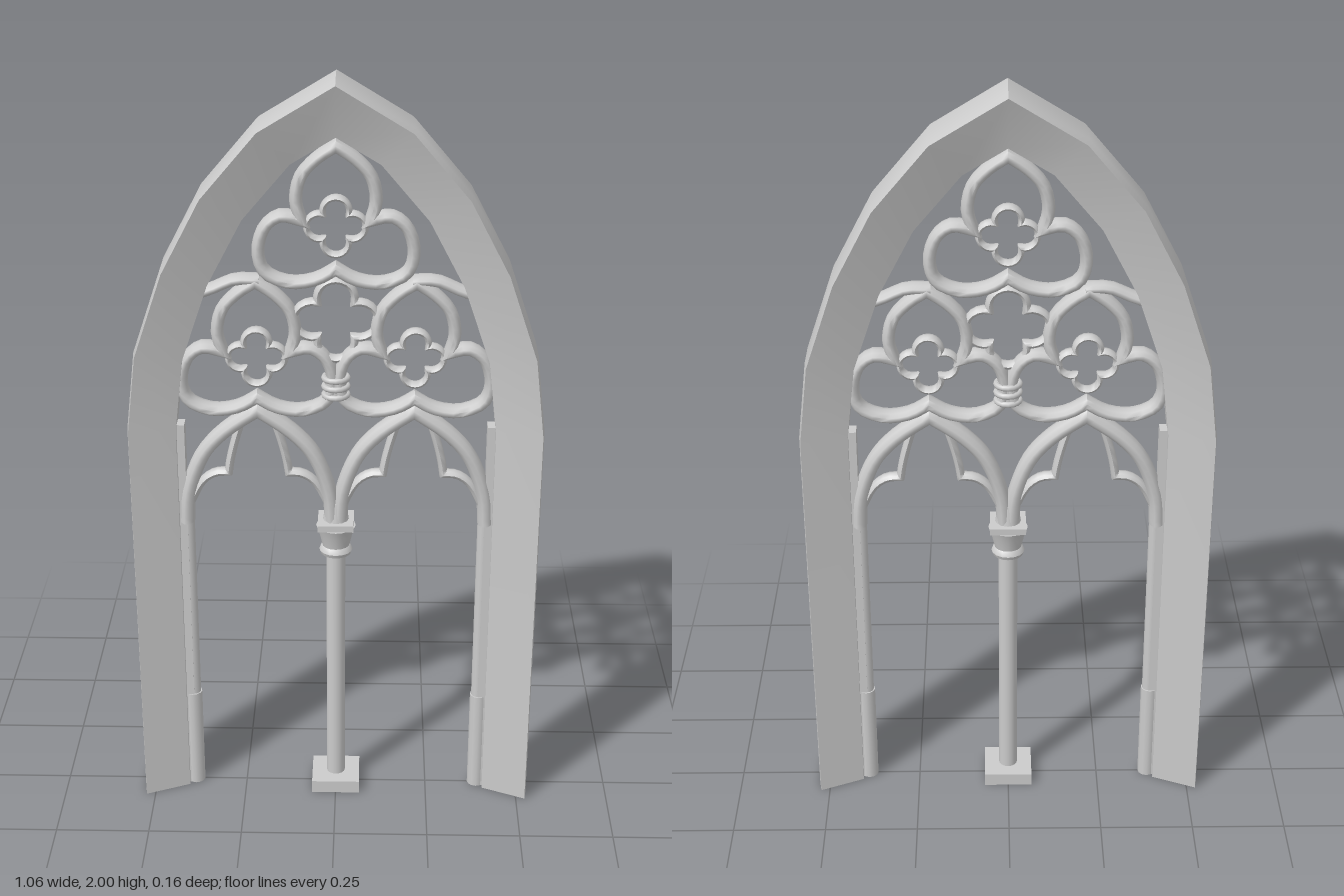
import * as THREE from 'three';
import { toCreasedNormals } from 'three/addons/utils/BufferGeometryUtils.js';

const material = new THREE.MeshStandardMaterial({ color: 0xcccccc, side: THREE.DoubleSide });

function addMesh(parent, name, geometry, x = 0, y = 0, z = 0) {
  const mesh = new THREE.Mesh(geometry, material);
  mesh.name = name;
  mesh.position.set(x, y, z);
  parent.add(mesh);
  return mesh;
}

// Sweep a section of [inward offset, z] points along a path in the xy plane, mitred at corners.
function sweep(path, section, closed, crease) {
  const n = path.length, m = section.length, pos = [], idx = [];
  const normal = (a, b) => new THREE.Vector2(a.y - b.y, b.x - a.x).normalize();
  for (let i = 0; i < n; i++) {
    const p = path[i];
    const prev = closed || i > 0 ? path[(i + n - 1) % n] : null;
    const next = closed || i < n - 1 ? path[(i + 1) % n] : null;
    const n0 = prev ? normal(prev, p) : normal(p, next);
    const n1 = next ? normal(p, next) : n0;
    const mid = n0.clone().add(n1).normalize();
    const k = 1 / Math.max(0.5, mid.dot(n1));
    for (const [u, z] of section) pos.push(p.x + mid.x * u * k, p.y + mid.y * u * k, z);
  }
  for (let i = 0; i < (closed ? n : n - 1); i++) {
    for (let j = 0; j < m; j++) {
      const j1 = (j + 1) % m, i1 = (i + 1) % n;
      const a = i * m + j, b = i * m + j1, c = i1 * m + j, d = i1 * m + j1;
      idx.push(a, b, c, b, d, c);
    }
  }
  if (!closed) {
    const e = (n - 1) * m;
    for (let j = 1; j < m - 1; j++) idx.push(0, j + 1, j, e, e + j, e + j + 1);
  }
  const g = new THREE.BufferGeometry();
  g.setAttribute('position', new THREE.Float32BufferAttribute(pos, 3));
  g.setIndex(idx);
  return toCreasedNormals(g, crease);
}

const vec = (list) => list.map(([x, y]) => new THREE.Vector2(x, y));
const spline = (list, n) => new THREE.SplineCurve(vec(list)).getPoints(n);
const mirrored = (pts) => pts.map((p) => new THREE.Vector2(-p.x, p.y)).reverse();

// Rounded bar section
function barSection(halfWidth, halfDepth, sides = 10) {
  return Array.from({ length: sides }, (_, i) => {
    const a = (i / sides) * Math.PI * 2;
    return [Math.cos(a) * halfWidth, Math.sin(a) * halfDepth];
  });
}

// Three-lobed ring, bottom cusp at the origin
function trefoil() {
  const side = spline([[0, 0], [0.05, -0.028], [0.115, -0.036], [0.175, -0.01], [0.192, 0.045], [0.175, 0.105], [0.135, 0.135], [0.085, 0.125]], 20);
  const top = spline([[0.085, 0.125], [0.098, 0.175], [0.085, 0.235], [0.045, 0.28], [0, 0.31]], 12);
  const half = [...side, ...top.slice(1)];
  return sweep([...half, ...mirrored(half).slice(1, -1)], barSection(0.016, 0.03), true, 1);
}

// Four-lobed ring made of circular lobes
function quatrefoil(R, halfWidth) {
  const pts = [], c = 0.55 * R, r = 0.45 * R;
  for (let i = 0; i < 48; i++) {
    const t = (i / 48) * Math.PI * 2;
    const f = ((i + 6) % 12 - 6) / 48 * Math.PI * 2;
    const d = c * Math.cos(f) + Math.sqrt(r * r - (c * Math.sin(f)) ** 2);
    pts.push(new THREE.Vector2(d * Math.cos(t), d * Math.sin(t)));
  }
  return sweep(pts, barSection(halfWidth, 0.018, 8), true, 1);
}

export function createModel() {
  const model = new THREE.Group();
  model.name = 'gothicWindow';

  // Outer pointed frame, tapering in depth toward the opening
  const right = vec([[0.53, 0], [0.53, 0.55], [0.53, 1.1], [0.505, 1.31], [0.43, 1.53], [0.33, 1.72], [0.19, 1.885], [0, 2]]);
  const frameSection = [[0.006, 0.081], [0, 0.045], [0, -0.045], [0.006, -0.081], [0.122, -0.032], [0.122, 0.032]];
  addMesh(model, 'frame', sweep([...right, ...mirrored(right).slice(1)], frameSection, false, 0.6));

  // Slim shafts on the inner side of each jamb
  for (const s of [-1, 1]) {
    const jamb = new THREE.Group();
    jamb.name = s > 0 ? 'leftJambShaft' : 'rightJambShaft';
    addMesh(jamb, 'shaft', new THREE.CylinderGeometry(0.019, 0.019, 0.9, 12), s * 0.39, 0.45);
    addMesh(jamb, 'shaftFoot', new THREE.CylinderGeometry(0.024, 0.024, 0.29, 12), s * 0.392, 0.145);
    addMesh(jamb, 'shaftBacking', new THREE.BoxGeometry(0.03, 1.1, 0.04), s * 0.403, 0.55);
    model.add(jamb);
  }

  // Central column with base and capital
  const column = new THREE.Group();
  column.name = 'column';
  addMesh(column, 'base', new THREE.BoxGeometry(0.13, 0.036, 0.125), 0, 0.018);
  addMesh(column, 'shaft', new THREE.CylinderGeometry(0.025, 0.025, 0.72, 16), 0, 0.39);
  const capital = vec([[0, 0.728], [0.04, 0.728], [0.044, 0.738], [0.04, 0.748], [0.036, 0.752], [0.044, 0.785], [0.052, 0.808], [0, 0.808]]);
  addMesh(column, 'capital', toCreasedNormals(new THREE.LatheGeometry(capital, 16), 0.6));
  addMesh(column, 'abacus', new THREE.BoxGeometry(0.094, 0.018, 0.094), 0, 0.818);
  addMesh(column, 'springer', new THREE.CylinderGeometry(0.025, 0.035, 0.06, 12), 0, 0.85);
  model.add(column);

  // Two lancet arches with cusped hooks
  const lancetHalf = spline([[0.19, 0.82], [0.182, 0.91], [0.145, 1.01], [0.085, 1.08], [0, 1.14]], 16);
  const hook = [
    ...spline([[0.045, 1.1], [0.06, 1.05], [0.072, 1.0], [0.078, 0.962]], 8),
    ...spline([[0.078, 0.962], [0.115, 0.958], [0.15, 0.93], [0.18, 0.87]], 8).slice(1),
  ];
  for (const s of [-1, 1]) {
    const lancet = new THREE.Group();
    lancet.name = s > 0 ? 'leftLancet' : 'rightLancet';
    lancet.position.x = s * 0.2;
    addMesh(lancet, 'arch', sweep([...lancetHalf, ...mirrored(lancetHalf).slice(1)], barSection(0.02, 0.032), false, 1));
    addMesh(lancet, 'innerHook', sweep(hook, barSection(0.011, 0.018, 8), false, 1));
    addMesh(lancet, 'outerHook', sweep(mirrored(hook), barSection(0.011, 0.018, 8), false, 1));
    model.add(lancet);
  }

  // Three trefoils, each holding a small quatrefoil
  for (const [x, y, name] of [[-0.2, 1.175, 'rightTrefoil'], [0.2, 1.175, 'leftTrefoil'], [0, 1.52, 'topTrefoil']]) {
    const unit = new THREE.Group();
    unit.name = name;
    unit.position.set(x, y, 0);
    addMesh(unit, 'ring', trefoil());
    addMesh(unit, 'quatrefoil', quatrefoil(0.073, 0.008), 0, 0.108);
    model.add(unit);
  }
  addMesh(model, 'centreQuatrefoil', quatrefoil(0.105, 0.01), 0, 1.385);

  // Short bars tying the trefoils to the frame
  for (const s of [-1, 1]) {
    const tie = spline([[0.19, 1.49], [0.25, 1.49], [0.31, 1.465], [0.385, 1.44]], 8);
    addMesh(model, 'tieBar', sweep(s > 0 ? tie : mirrored(tie), barSection(0.014, 0.028), false, 1));
  }

  // Ringed knot where the lower trefoils meet
  const knot = new THREE.Group();
  knot.name = 'knot';
  addMesh(knot, 'core', new THREE.CylinderGeometry(0.028, 0.028, 0.06, 12), 0, 1.205);
  for (const y of [1.182, 1.205, 1.228]) {
    const ring = addMesh(knot, 'ring', new THREE.TorusGeometry(0.03, 0.008, 8, 16), 0, y);
    ring.rotation.x = Math.PI / 2;
  }
  model.add(knot);

  return model;
}
